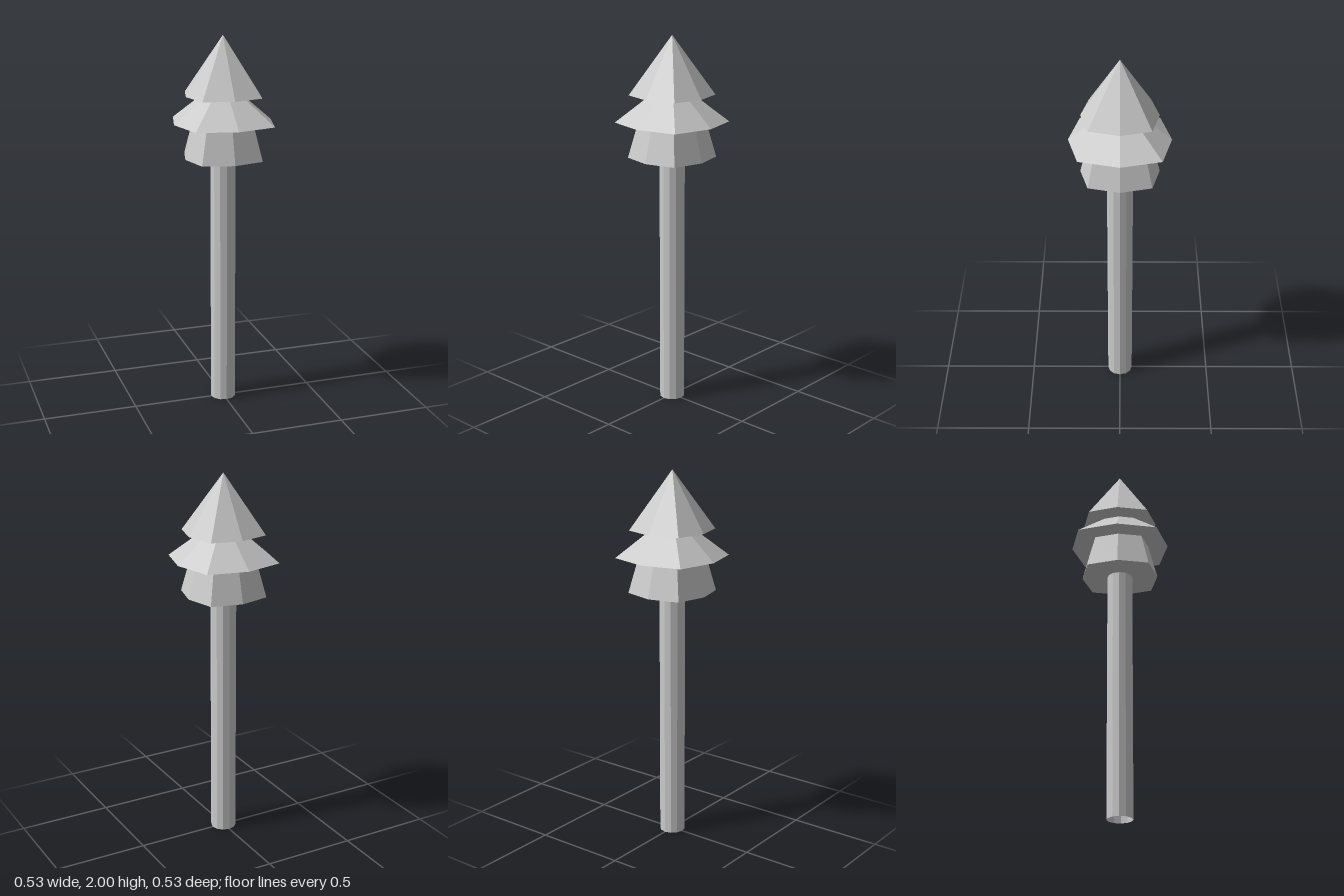
import * as THREE from 'three';

const material = new THREE.MeshStandardMaterial({ color: 0xcccccc, flatShading: true });
const openMaterial = new THREE.MeshStandardMaterial({
  color: 0xcccccc, flatShading: true, side: THREE.DoubleSide,
});

// Eight-sided tier with a flat underside; its diagonal corners stick out further.
function makeTier(name, bottomY, bottomRadius, topY, topRadius) {
  const profile = [[0, bottomY], [bottomRadius, bottomY], [topRadius, topY]]
    .map(([r, y]) => new THREE.Vector2(r, y));
  const geometry = new THREE.LatheGeometry(profile, 8);
  const position = geometry.attributes.position;
  for (let i = 0; i < position.count; i++) {
    const x = position.getX(i), z = position.getZ(i);
    const isDiagonal = Math.min(Math.abs(x), Math.abs(z)) > 1e-4;
    const stretch = isDiagonal ? 1.13 : 1;
    position.setX(i, x * stretch);
    position.setZ(i, z * stretch);
  }
  geometry.computeVertexNormals();
  const mesh = new THREE.Mesh(geometry, material);
  mesh.name = name;
  return mesh;
}

export function createModel() {
  const model = new THREE.Group();
  model.name = 'tree';

  // Tall open-ended trunk
  const height = 1.36;
  const trunk = new THREE.Mesh(
    new THREE.CylinderGeometry(0.068, 0.068, height, 12, 1, true), openMaterial);
  trunk.name = 'trunk';
  trunk.position.y = height / 2;
  model.add(trunk);

  // Foliage, each tier ending at the underside of the next
  model.add(
    makeTier('lowerFoliage', 1.36, 0.205, 1.548, 0.157),
    makeTier('middleFoliage', 1.548, 0.264, 1.69, 0.1),
    makeTier('topFoliage', 1.69, 0.199, 2, 0),
  );
  return model;
}
